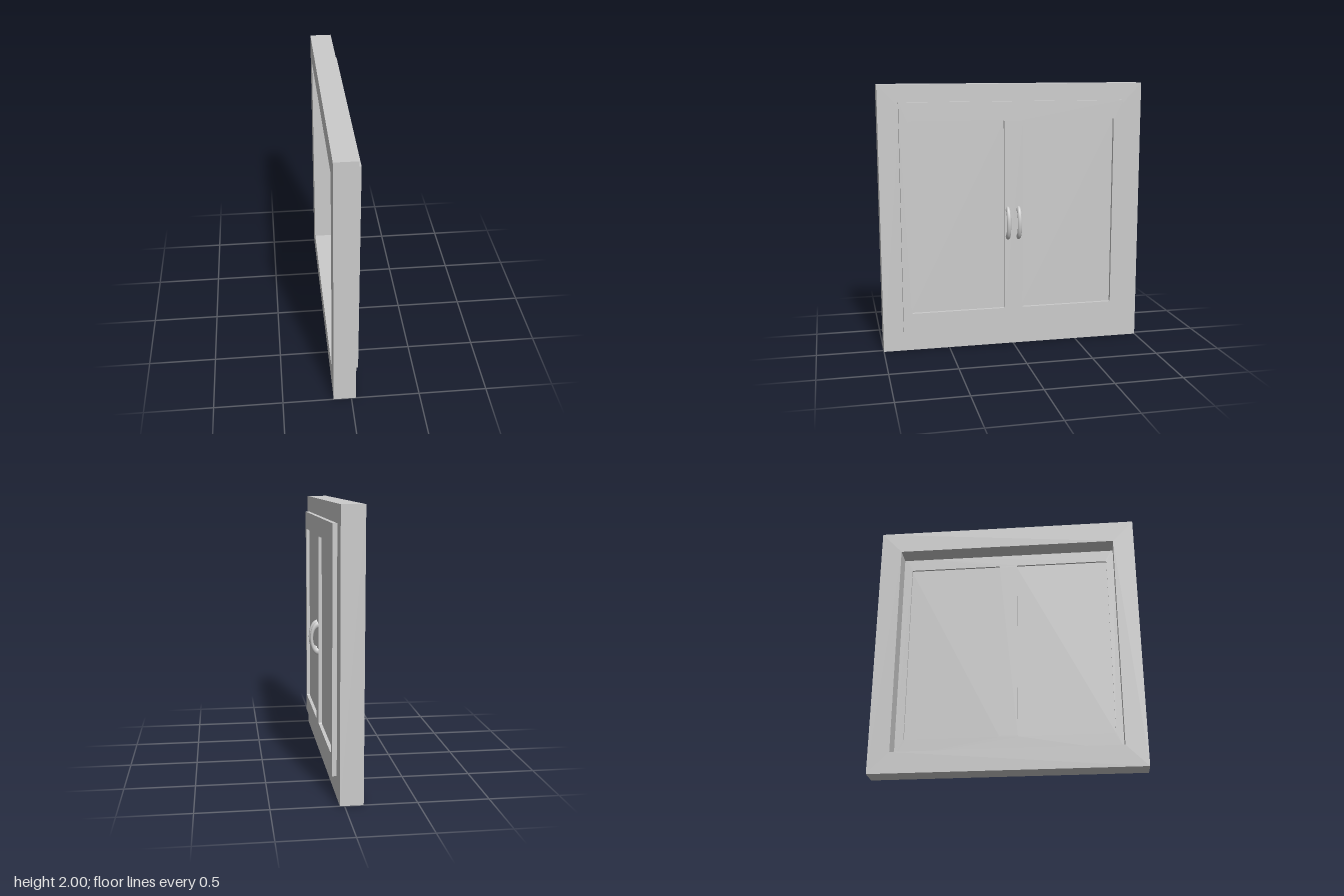
import * as THREE from 'three';

const grey = new THREE.MeshStandardMaterial({ color: 0xcccccc });

// Trace a rectangle [z0, z1, y0, y1]; r rounds the corners slightly
function trace(path, [z0, z1, y0, y1], r = 0) {
  const a = -z1, b = -z0; // shape x runs along -z
  path.moveTo(a + r, y0);
  path.lineTo(b - r, y0);
  if (r) path.quadraticCurveTo(b, y0, b, y0 + r);
  path.lineTo(b, y1 - r);
  if (r) path.quadraticCurveTo(b, y1, b - r, y1);
  path.lineTo(a + r, y1);
  if (r) path.quadraticCurveTo(a, y1, a, y1 - r);
  path.lineTo(a, y0 + r);
  if (r) path.quadraticCurveTo(a, y0, a + r, y0);
  path.closePath();
  return path;
}

// Upright slab facing +x, from x0 to x1, with rectangular openings
function slab(name, rect, x0, x1, holes = [], r = 0) {
  const shape = trace(new THREE.Shape(), rect);
  for (const h of holes) shape.holes.push(trace(new THREE.Path(), h, r));
  const geo = new THREE.ExtrudeGeometry(shape, { depth: x1 - x0, bevelEnabled: false, curveSegments: 3 });
  geo.rotateY(Math.PI / 2).translate(x0, 0, 0);
  const mesh = new THREE.Mesh(geo, grey);
  mesh.name = name;
  return mesh;
}

export function createModel() {
  const group = new THREE.Group();
  group.name = 'cabinetFront';

  // Deep outer frame, open at the back
  group.add(slab('outerFrame', [-1, 1, 0, 2], -0.13, 0.032, [[-0.84, 0.84, 0.16, 1.83]]));

  // Raised door frame with two openings
  const openings = [[0.073, 0.785, 0.295, 1.735], [-0.775, -0.065, 0.295, 1.735]];
  group.add(slab('doorFrame', [-0.845, 0.85, 0.155, 1.873], 0.015, 0.064, openings, 0.01));

  // Thin recessed panels, slightly larger than their openings
  openings.forEach(([z0, z1, y0, y1], i) => {
    const e = 0.01;
    group.add(slab(i ? 'rightPanel' : 'leftPanel', [z0 - e, z1 + e, y0 - e, y1 + e], 0.03, 0.039));
  });

  // Curved pull handles
  const arc = new THREE.TorusGeometry(0.067, 0.0165, 16, 32, Math.PI);
  arc.rotateZ(-Math.PI / 2).scale(0.76, 1.53, 1);
  [0.048, -0.035].forEach((z, i) => {
    const handle = new THREE.Mesh(arc, grey);
    handle.name = i ? 'rightHandle' : 'leftHandle';
    handle.position.set(0.063, 0.96, z);
    group.add(handle);
  });

  return group;
}
